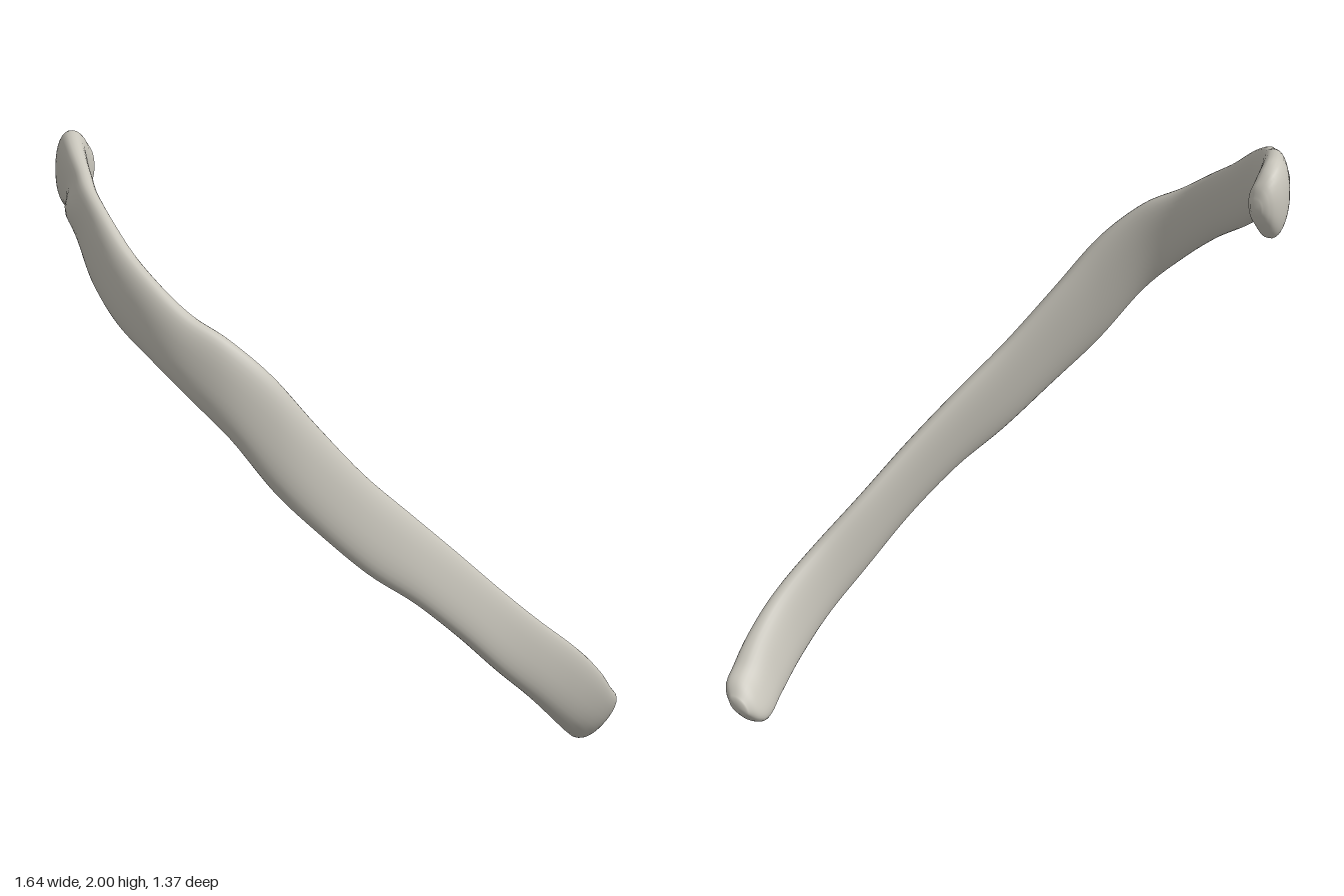
import * as THREE from 'three';

// Stations along the rib: x, z, top edge y, bottom edge y, outward lean of the top edge, half thickness
const STATIONS = [
  [-0.757, -0.022, 1.90, 1.85, 0, 0.022],
  [-0.762, 0.0, 1.945, 1.80, 0, 0.045],
  [-0.77, 0.045, 1.985, 1.743, 0, 0.054],
  [-0.762, 0.1, 2.0, 1.755, 0, 0.052],
  [-0.715, 0.2, 1.975, 1.755, 0, 0.045],
  [-0.66, 0.29, 1.93, 1.715, 0, 0.04],
  [-0.605, 0.38, 1.885, 1.655, 0, 0.04],
  [-0.525, 0.475, 1.812, 1.575, -0.01, 0.042],
  [-0.42, 0.555, 1.715, 1.48, -0.015, 0.045],
  [-0.3, 0.61, 1.625, 1.39, -0.015, 0.046],
  [-0.18, 0.63, 1.54, 1.285, -0.015, 0.046],
  [-0.05, 0.615, 1.465, 1.155, -0.015, 0.046],
  [0.08, 0.56, 1.345, 0.975, -0.015, 0.045],
  [0.2, 0.475, 1.18, 0.83, -0.02, 0.042],
  [0.32, 0.365, 1.01, 0.69, -0.02, 0.042],
  [0.43, 0.24, 0.87, 0.58, -0.02, 0.042],
  [0.53, 0.1, 0.73, 0.45, -0.015, 0.04],
  [0.615, -0.05, 0.59, 0.315, -0.005, 0.038],
  [0.69, -0.2, 0.46, 0.2, 0.01, 0.038],
  [0.735, -0.35, 0.355, 0.1, 0.025, 0.04],
  [0.75, -0.48, 0.265, 0.035, 0.035, 0.045],
  [0.75, -0.58, 0.185, 0.004, 0.04, 0.05],
  [0.75, -0.645, 0.145, 0.02, 0.035, 0.047],
  [0.75, -0.683, 0.105, 0.055, 0.015, 0.025],
];

const rounded = (v, power) => Math.sign(v) * Math.pow(Math.abs(v), power);

function ribGeometry(steps = 138, sides = 32) {
  const path = new THREE.CatmullRomCurve3(
    STATIONS.map(([x, z, top, bottom]) => new THREE.Vector3(x, (top + bottom) / 2, z)), false, 'catmullrom');
  const size = new THREE.CatmullRomCurve3(
    STATIONS.map(([, , top, bottom, lean, half]) => new THREE.Vector3((top - bottom) / 2, lean, half)), false, 'catmullrom');
  const tubercle = new THREE.Vector3(-0.67, 1.8, 0.345);
  const positions = [], indices = [];

  // Flattened oval sections, standing upright across the path
  for (let i = 0; i <= steps; i++) {
    const c = path.getPoint(i / steps);
    const s = size.getPoint(i / steps);
    const t = path.getTangent(i / steps);
    const out = new THREE.Vector3(-t.z, 0, t.x).normalize();
    for (let j = 0; j < sides; j++) {
      const a = (j / sides) * Math.PI * 2;
      const up = rounded(Math.sin(a), 0.9);
      const p = c.clone().addScaledVector(out, rounded(Math.cos(a), 0.85) * s.z + up * s.y);
      p.y += up * s.x;
      // Small raised tubercle on the outer face of the neck
      if (Math.cos(a) > 0) {
        const bump = 0.025 * Math.exp(-p.distanceToSquared(tubercle) / 0.0035);
        p.addScaledVector(out, bump * Math.cos(a));
      }
      positions.push(p.x, p.y, p.z);
    }
  }
  for (let i = 0; i < steps; i++) {
    for (let j = 0; j < sides; j++) {
      const k = (j + 1) % sides;
      const a = i * sides + j, b = i * sides + k;
      indices.push(a, a + sides, b, b, a + sides, b + sides);
    }
  }

  // Softly domed ends
  for (const end of [0, 1]) {
    const c = path.getPoint(end).addScaledVector(path.getTangent(end), end ? 0.006 : -0.006);
    const centre = positions.length / 3;
    positions.push(c.x, c.y, c.z);
    const base = end * steps * sides;
    for (let j = 0; j < sides; j++) {
      const a = base + j, b = base + (j + 1) % sides;
      indices.push(centre, end ? b : a, end ? a : b);
    }
  }

  const geometry = new THREE.BufferGeometry();
  geometry.setAttribute('position', new THREE.Float32BufferAttribute(positions, 3));
  geometry.setIndex(indices);
  geometry.computeVertexNormals();
  return geometry;
}

export function createModel() {
  const group = new THREE.Group();
  group.name = 'ribBone';
  const bone = new THREE.MeshStandardMaterial({ color: 0xc8c5bb });
  bone.name = 'bone';
  const rib = new THREE.Mesh(ribGeometry(), bone);
  rib.name = 'rib';
  group.add(rib);
  return group;
}
